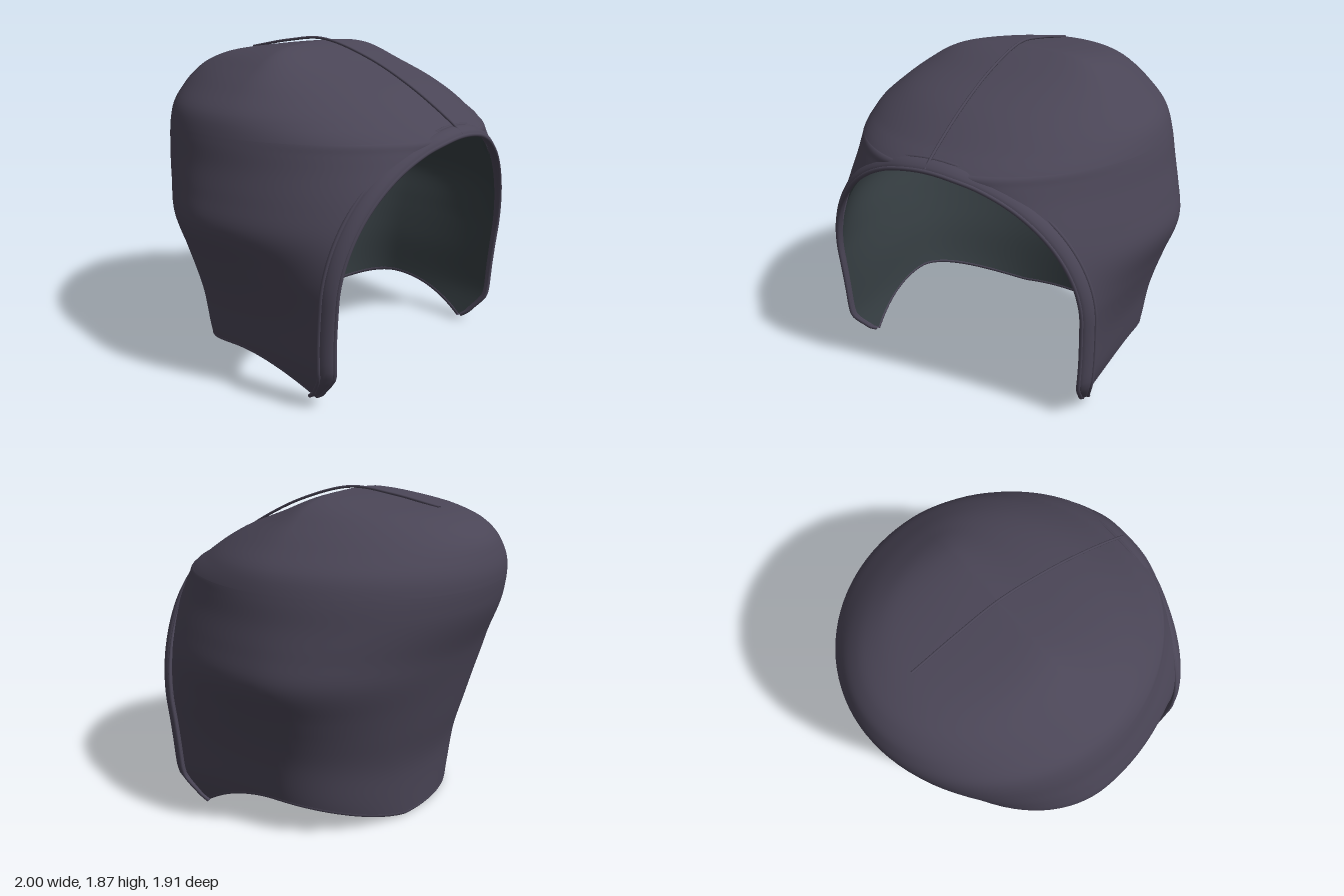
import * as THREE from 'three';

const OUT = new THREE.MeshStandardMaterial({ color: 0x4a4556, side: THREE.DoubleSide });
const IN = new THREE.MeshStandardMaterial({ color: 0x343c40, side: THREE.DoubleSide });

// Smooth monotone interpolation through [y, value] pairs
function curve(p) {
  const s = p.slice(1).map((b, i) => (b[1] - p[i][1]) / (b[0] - p[i][0]));
  const m = p.map((_, i) => {
    if (i === 0) return s[0];
    if (i === p.length - 1) return s[i - 1];
    return s[i - 1] * s[i] <= 0 ? 0 : 2 * s[i - 1] * s[i] / (s[i - 1] + s[i]);
  });
  return (y) => {
    y = Math.min(Math.max(y, p[0][0]), p[p.length - 1][0]);
    let i = 0;
    while (i < p.length - 2 && y > p[i + 1][0]) i++;
    const h = p[i + 1][0] - p[i][0], t = (y - p[i][0]) / h, t2 = t * t, t3 = t2 * t;
    return (2 * t3 - 3 * t2 + 1) * p[i][1] + (t3 - 2 * t2 + t) * h * m[i]
      + (3 * t2 - 2 * t3) * p[i + 1][1] + (t3 - t2) * h * m[i + 1];
  };
}

const TOP = 1.857, ARCH = 1.41, MID = -0.03, LOW = 0.018;
// Front edge / seam, back line and half-width by height
const frontZ = curve([[0, .52], [.1, .61], [.22, .69], [.4, .7], [.7, .73], [1, .78], [1.25, .85], [1.36, .9],
  [ARCH, .93], [1.47, .84], [1.62, .6], [1.74, .3], [1.82, .1], [TOP, MID]]);
const backZ = curve([[0, -.59], [.3, -.62], [.6, -.7], [1, -.82], [1.3, -.935], [1.45, -.955], [1.6, -.92],
  [1.7, -.84], [1.77, -.68], [1.83, -.3], [TOP, MID]]);
const halfW = curve([[0, .75], [.2, .81], [.45, .85], [.6, .89], [.72, .93], [.95, 1], [1.1, .97], [1.25, .93],
  [1.38, .9], [1.5, .855], [1.63, .72], [1.72, .6], [1.81, .44], [1.845, .28], [TOP, 0]]);
const lowEdge = curve([[0, .735], [.25, .8], [.65, .82]]);

// Half-width of the face opening
function edgeX(y) {
  if (y >= ARCH) return 0;
  return y < .65 ? lowEdge(y) : .82 * Math.sqrt(1 - ((y - .65) / (ARCH - .65)) ** 2);
}

// Point on the hood: height y, angle a from the front round the back to the front
function hoodPoint(y, a) {
  const c = Math.cos(a), s = Math.sin(a);
  const z = MID + c * (c > 0 ? frontZ(y) - MID : MID - backZ(y));
  const lift = .2 * Math.max(0, 1 - (z / .56) ** 2);
  const h = y + lift * Math.max(0, 1 - y / .9) ** 2;
  const w = halfW(h);
  let x = w * Math.abs(s);
  if (c > 0) {
    const e = edgeX(h);
    x = e + (w - e) * Math.pow(Math.abs(s), 1 + Math.min(1, e / .8));
  }
  return new THREE.Vector3(a > Math.PI ? -x : x, h, z);
}

// Surface through rows of points
function grid(rows, flip = false) {
  const n = rows[0].length, idx = [];
  for (let i = 0; i < rows.length - 1; i++) for (let j = 0; j < n - 1; j++) {
    const a = i * n + j, b = a + 1, c = a + n, d = c + 1;
    if (flip) idx.push(a, c, b, b, c, d);
    else idx.push(a, b, c, b, d, c);
  }
  const g = new THREE.BufferGeometry().setFromPoints(rows.flat());
  g.setIndex(idx);
  g.computeVertexNormals();
  return g;
}

function add(group, name, geometry, material = OUT) {
  const mesh = new THREE.Mesh(geometry, material);
  mesh.name = name;
  group.add(mesh);
  return mesh;
}

const tube = (pts, r, n) => new THREE.TubeGeometry(new THREE.CatmullRomCurve3(pts), n, r, 8);

export function createModel() {
  const hood = new THREE.Group();
  hood.name = 'hood';

  // Heights, denser near the arch top and the crown
  const ys = [];
  for (let i = 0; i <= 48; i++) ys.push(LOW + (ARCH - LOW) * Math.sin(i / 48 * Math.PI / 2));
  for (let i = 1; i <= 28; i++) ys.push(ARCH + (TOP - ARCH) * (1 - (1 - i / 28) ** 2));
  const N = 96;
  const rows = ys.map((y) => Array.from({ length: N + 1 }, (_, j) => hoodPoint(y, j / N * 2 * Math.PI)));

  // Outer shell
  const outer = grid(rows), nor = outer.attributes.normal;
  rows.forEach((row, i) => {
    for (let j = 0; j <= N; j++) {
      const k = i * (N + 1) + j;
      if (i === rows.length - 1) nor.setXYZ(k, 0, 1, 0);
    }
  });
  add(hood, 'outerShell', outer);

  // Lining, set inside the shell by its thickness
  const inner = rows.map((row, i) => row.map((p, j) => {
    const n = new THREE.Vector3().fromBufferAttribute(nor, i * (N + 1) + j);
    if ((j === 0 || j === N) && ys[i] >= ARCH - 1e-6) n.setX(0).normalize();
    return p.clone().addScaledVector(n, -.028);
  }));
  add(hood, 'lining', grid(inner, true), IN);

  // Hem: strip closing the thickness, with a rolled edge
  add(hood, 'hemStrip', grid([inner[0], rows[0]]));
  add(hood, 'hemRoll', tube(rows[0].map((p, j) => p.clone().lerp(inner[0][j], .5)), .016, 160));

  // Face opening: flat band with a bead along each edge
  const half = [];
  for (let i = 0; i <= 48; i++) half.push(rows[i][0]);
  const path = [...half, ...half.slice(0, -1).reverse().map((p) => new THREE.Vector3(-p.x, p.y, p.z))];
  const at = (p, along, out) => {
    const r = new THREE.Vector3(p.x / .67, Math.max(0, p.y - .65) / .58, 0).normalize();
    const k = Math.min(1, .35 + p.y * 3);
    return p.clone().addScaledVector(r, k * (.5 * along + .85 * out))
      .add(new THREE.Vector3(0, 0, k * (-.85 * along + .5 * out)));
  };
  const band = path.map((p) => Array.from({ length: 13 }, (_, j) => {
    const a = j / 12 * 2 * Math.PI;
    return at(p, .022 + .045 * Math.cos(a), .02 * Math.sin(a));
  }));
  add(hood, 'faceBand', grid(band));
  add(hood, 'frontBead', tube(path.map((p) => at(p, -.02, 0)), .012, 140));
  add(hood, 'rearBead', tube(path.map((p) => at(p, .065, .005)), .011, 140));

  // Raised cord over the crown
  const cord = [[1.41, .945], [1.47, .87], [1.64, .6], [1.78, .3], [1.868, -.03], [1.845, -.3], [1.79, -.6]]
    .map(([y, z]) => new THREE.Vector3(0, y, z));
  add(hood, 'crownCord', tube(cord, .008, 80));

  return hood;
}
